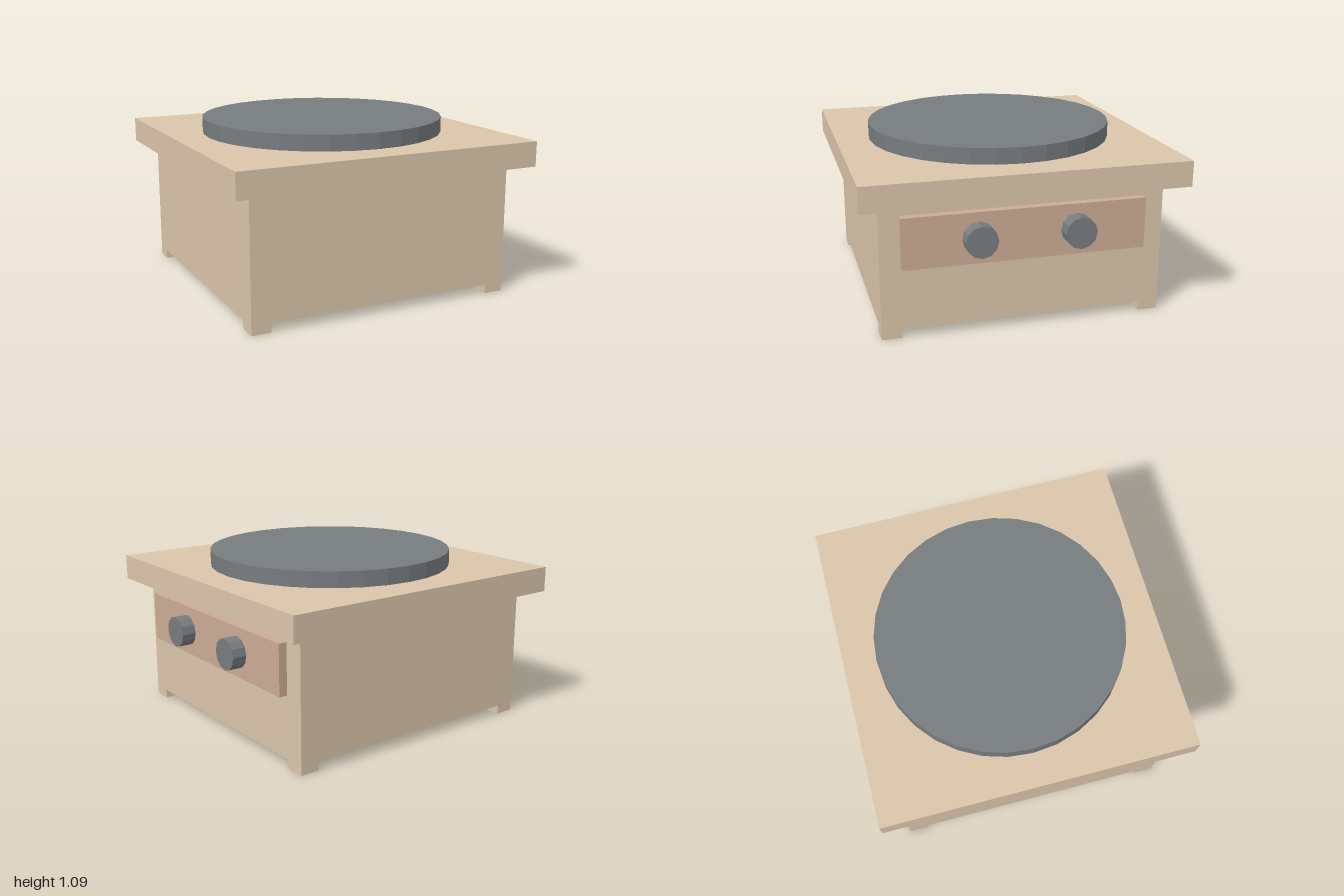
import * as THREE from 'three';

export function createModel() {
  const model = new THREE.Group();
  const mat = (color) => new THREE.MeshStandardMaterial({ color, flatShading: true });
  const tan = mat(0xdac5ab), clay = mat(0xcbab95), slate = mat(0x777c7f);
  const cx = -0.006; // the knobs push the body slightly off centre

  function add(name, geometry, material, x, y, z) {
    const mesh = new THREE.Mesh(geometry, material);
    mesh.name = name;
    mesh.position.set(x, y, z);
    model.add(mesh);
    return mesh;
  }
  // Box given by its size, bottom height and centre
  const box = (name, w, h, d, material, x, y0, z) =>
    add(name, new THREE.BoxGeometry(w, h, d), material, x, y0 + h / 2, z);

  // Body and overhanging top
  box('body', 1.737, 0.775, 1.745, tan, cx - 0.005, 0.055, 0.003);
  box('topSlab', 1.988, 0.16, 1.99, tan, cx, 0.83, 0);

  // Corner feet, flush with the body
  for (const sx of [-1, 1])
    for (const sz of [-1, 1])
      box('foot', 0.125, 0.055, 0.125, tan, cx - 0.005 + sx * 0.806, 0, 0.003 + sz * 0.81);

  // Round hot plate
  add('hotPlate', new THREE.CylinderGeometry(0.785, 0.785, 0.1, 32), slate, cx, 1.04, 0);

  // Control panel with two knobs on the left side
  box('controlPanel', 0.055, 0.315, 1.49, clay, 0.882, 0.445, 0.008);
  for (const sz of [-1, 1]) {
    const knob = add('knob', new THREE.CylinderGeometry(0.098, 0.098, 0.09, 12), slate, 0.955, 0.605, sz * 0.3);
    knob.rotation.z = -Math.PI / 2;
  }
  return model;
}
